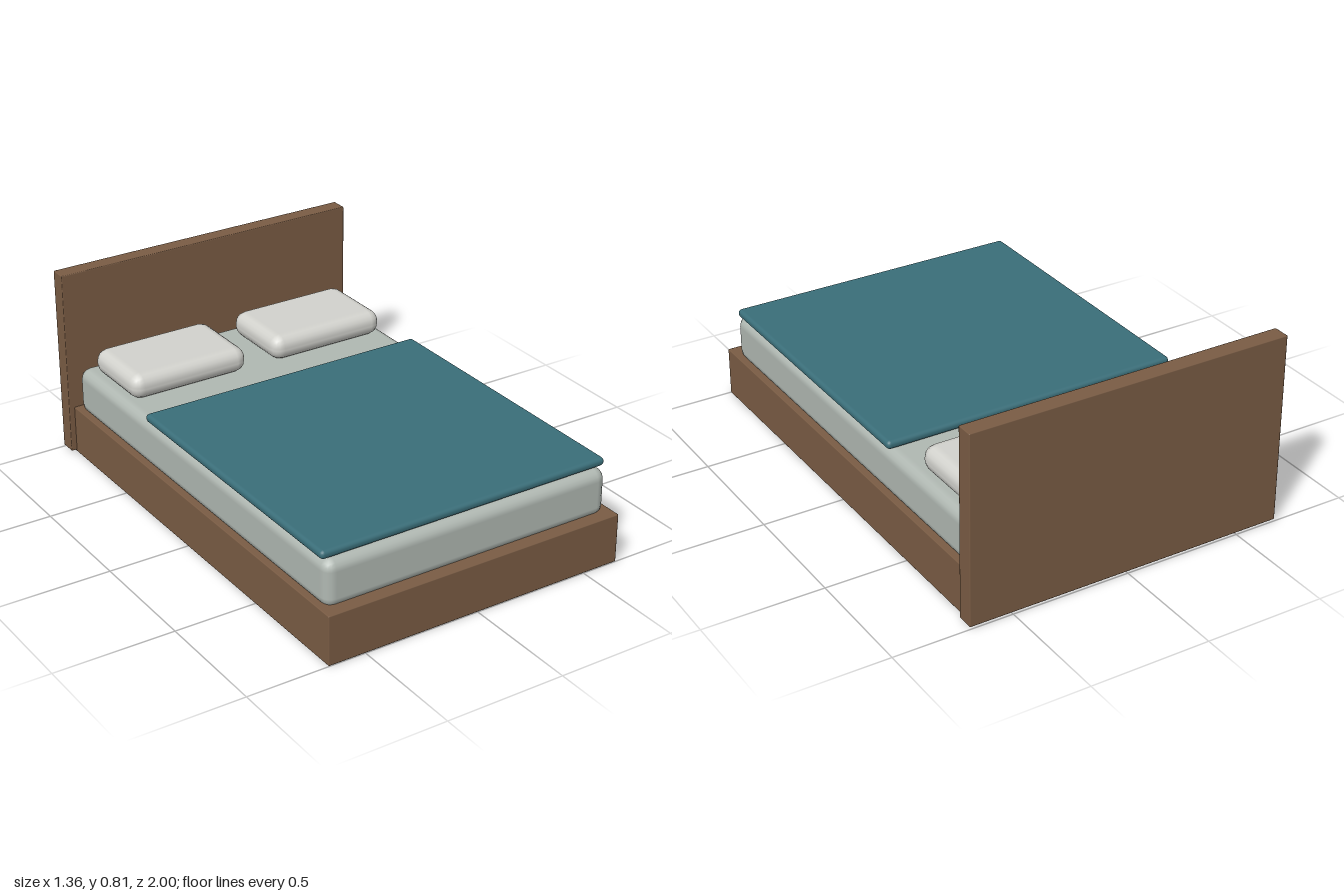
import * as THREE from 'three';
import { RoundedBoxGeometry } from 'three/addons/geometries/RoundedBoxGeometry.js';

const material = (name, color) => {
  const m = new THREE.MeshStandardMaterial({ color });
  m.name = name;
  return m;
};

export function createModel() {
  const wood = material('walnut wood', 0x7a5c44);
  const sheet = material('pale grey sheet', 0xb0b8b2);
  const linen = material('off-white linen', 0xd2d2cd);
  const teal = material('teal blanket', 0x3a6e79);

  const bed = new THREE.Group();
  bed.name = 'bed';

  // Rounded block given by its [min, max] extents on each axis
  const block = (name, mat, [x0, x1], [y0, y1], [z0, z1], radius, segments = 2) => {
    const geometry = new RoundedBoxGeometry(x1 - x0, y1 - y0, z1 - z0, segments, radius);
    const mesh = new THREE.Mesh(geometry, mat);
    mesh.position.set((x0 + x1) / 2, (y0 + y1) / 2, (z0 + z1) / 2);
    mesh.name = name;
    bed.add(mesh);
  };

  // Wooden frame
  block('base', wood, [-0.658, 0.658], [0, 0.208], [-0.98, 1], 0.004, 1);
  block('headboard', wood, [-0.682, 0.682], [0.008, 0.806], [-1, -0.928], 0.004, 1);

  // Bedding
  block('mattress', sheet, [-0.635, 0.635], [0.188, 0.388], [-0.925, 0.95], 0.045);
  block('blanket', teal, [-0.639, 0.639], [0.39, 0.425], [-0.345, 0.925], 0.016);

  // Pair of pillows
  for (const [name, x] of [['leftPillow', 0.33], ['rightPillow', -0.33]]) {
    block(name, linen, [x - 0.266, x + 0.266], [0.385, 0.494], [-0.857, -0.505], 0.05);
  }

  return bed;
}
